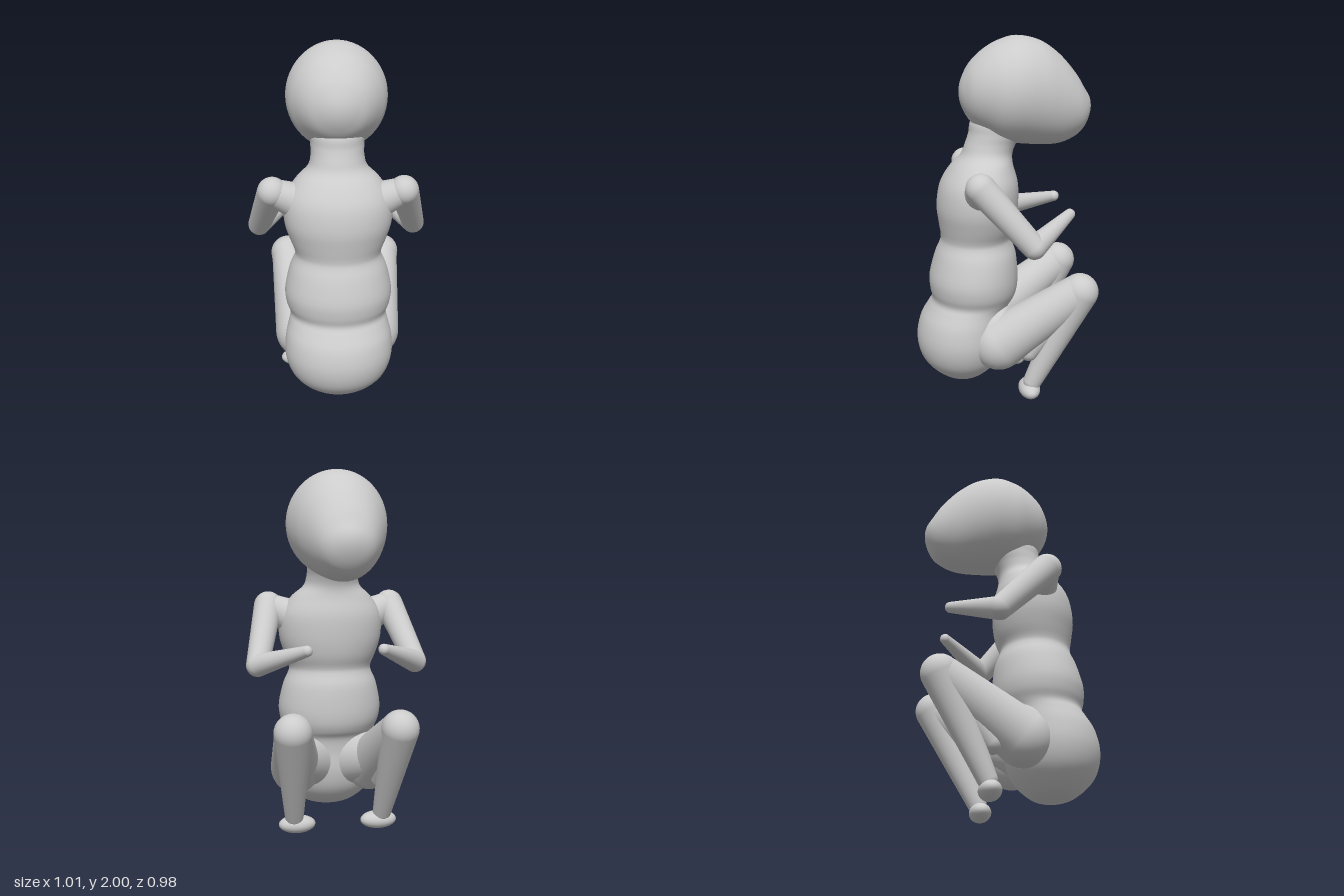
import * as THREE from 'three';

const material = new THREE.MeshStandardMaterial({ color: 0xcccccc, roughness: 0.8 });

function addMesh(parent, name, geometry) {
  const mesh = new THREE.Mesh(geometry, material);
  mesh.name = name;
  parent.add(mesh);
  return mesh;
}

// Smooth body along y from stations [y, zMax, zMin, halfWidth]; ends close to round poles.
// Squared radii are interpolated so that the poles come out rounded.
function loft(stations, rows = 110, cols = 56) {
  const centre = new THREE.CatmullRomCurve3(
    stations.map(([y, a, b]) => new THREE.Vector3(y, (a + b) / 2, 0)), false, 'catmullrom');
  const radii = new THREE.CatmullRomCurve3(
    stations.map(([, a, b, w]) => new THREE.Vector3(w * w, ((a - b) / 2) ** 2, 0)), false, 'catmullrom');
  const positions = [], index = [];
  for (let i = 0; i <= rows; i++) {
    const u = (1 - Math.cos(Math.PI * i / rows)) / 2;
    const c = centre.getPoint(u), r = radii.getPoint(u);
    const rx = Math.sqrt(Math.max(r.x, 0)), rz = Math.sqrt(Math.max(r.y, 0));
    for (let j = 0; j < cols; j++) {
      const t = 2 * Math.PI * j / cols;
      positions.push(rx * Math.cos(t), c.x, c.y + rz * Math.sin(t));
      if (i === rows) continue;
      const a = i * cols + j, b = i * cols + (j + 1) % cols;
      index.push(a, a + cols, b, b, a + cols, b + cols);
    }
  }
  const geometry = new THREE.BufferGeometry();
  geometry.setAttribute('position', new THREE.Float32BufferAttribute(positions, 3));
  geometry.setIndex(index);
  geometry.computeVertexNormals();
  return geometry;
}

// Tapered capsule from a to b, optionally flattened sideways.
function limb(a, b, ra, rb, flat = 1) {
  const start = new THREE.Vector3(...a), axis = new THREE.Vector3(...b).sub(start);
  const length = axis.length(), tilt = Math.asin((ra - rb) / length), points = [], n = 12;
  const arc = (from, to, r, y) => {
    for (let i = 0; i <= n; i++) {
      const t = from + (to - from) * i / n;
      points.push(new THREE.Vector2(Math.max(r * Math.cos(t), 0), y + r * Math.sin(t)));
    }
  };
  arc(-Math.PI / 2, tilt, ra, 0);
  arc(tilt, Math.PI / 2, rb, length);
  const geometry = new THREE.LatheGeometry(points, 32);
  geometry.scale(flat, 1, 1);
  const Y = axis.normalize();
  const X = new THREE.Vector3(1, 0, 0).addScaledVector(Y, -Y.x).normalize();
  const Z = new THREE.Vector3().crossVectors(X, Y);
  return geometry.applyMatrix4(new THREE.Matrix4().makeBasis(X, Y, Z).setPosition(start));
}

export function createModel() {
  const model = new THREE.Group();
  model.name = 'crouchingFigure';

  // Pelvis, belly, chest and neck in one rounded body
  addMesh(model, 'torso', loft([
    [0.06, 0.23, 0.23, 0], [0.10, 0.37, 0.10, 0.165], [0.20, 0.465, 0.01, 0.265],
    [0.31, 0.49, -0.02, 0.30], [0.42, 0.47, -0.02, 0.295], [0.50, 0.425, -0.03, 0.275],
    [0.545, 0.40, -0.06, 0.268], [0.60, 0.41, -0.08, 0.288], [0.68, 0.412, -0.085, 0.295],
    [0.80, 0.38, -0.075, 0.27], [0.87, 0.35, -0.05, 0.24], [0.91, 0.345, -0.045, 0.238],
    [0.98, 0.355, -0.07, 0.265], [1.08, 0.365, -0.085, 0.293], [1.20, 0.345, -0.085, 0.29],
    [1.30, 0.285, -0.06, 0.23], [1.36, 0.23, -0.055, 0.165], [1.42, 0.205, -0.075, 0.145],
    [1.48, 0.185, -0.11, 0.145], [1.55, 0.17, -0.13, 0.14], [1.62, 0.02, 0.02, 0],
  ]));

  // Head with muzzle: stations run along z as [z, -bottom, -top, halfWidth]
  addMesh(model, 'head', loft([
    [-0.49, -1.62, -1.62, 0], [-0.45, -1.50, -1.72, 0.115], [-0.40, -1.45, -1.80, 0.16],
    [-0.30, -1.412, -1.91, 0.212], [-0.20, -1.41, -1.975, 0.25], [-0.08, -1.42, -2.0, 0.275],
    [0.02, -1.435, -1.975, 0.262], [0.10, -1.485, -1.93, 0.222], [0.17, -1.54, -1.865, 0.165],
    [0.21, -1.60, -1.80, 0.10], [0.235, -1.70, -1.70, 0],
  ])).rotation.x = Math.PI / 2;

  for (const [side, s] of [['left', 1], ['right', -1]]) {
    const at = (x, y, z) => [s * x, y, z];

    // Arm, bent at the elbow with the forearm turned inward
    const arm = new THREE.Group();
    arm.name = side + 'Arm';
    const shoulder = at(0.352, 1.25, 0.165), elbow = at(0.44, 0.95, -0.10);
    addMesh(arm, 'shoulder', limb(at(0.17, 1.16, 0.13), shoulder, 0.11, 0.07));
    addMesh(arm, 'upperArm', limb(shoulder, elbow, 0.08, 0.063));
    addMesh(arm, 'forearm', limb(elbow, at(0.205, 1.055, -0.34), 0.063, 0.03));

    // Leg, folded with the knee raised
    const leg = new THREE.Group();
    leg.name = side + 'Leg';
    const knee = at(0.287, 0.635, -0.387), ankle = at(0.25, 0.10, -0.135);
    addMesh(leg, 'hip', limb(at(0.12, 0.36, 0.12), at(0.22, 0.40, -0.05), 0.165, 0.125));
    addMesh(leg, 'thigh', limb(at(0.215, 0.33, 0.05), knee, 0.15, 0.102, 0.95));
    addMesh(leg, 'innerKnee', limb(at(0.27, 0.57, -0.32), at(0.25, 0.29, -0.11), 0.08, 0.06));
    addMesh(leg, 'shin', limb(knee, ankle, 0.102, 0.052));
    const foot = new THREE.SphereGeometry(1, 32, 20).scale(0.103, 0.05, 0.06);
    addMesh(leg, 'foot', foot).position.set(s * 0.232, 0.05, -0.12);

    model.add(arm, leg);
  }
  return model;
}
